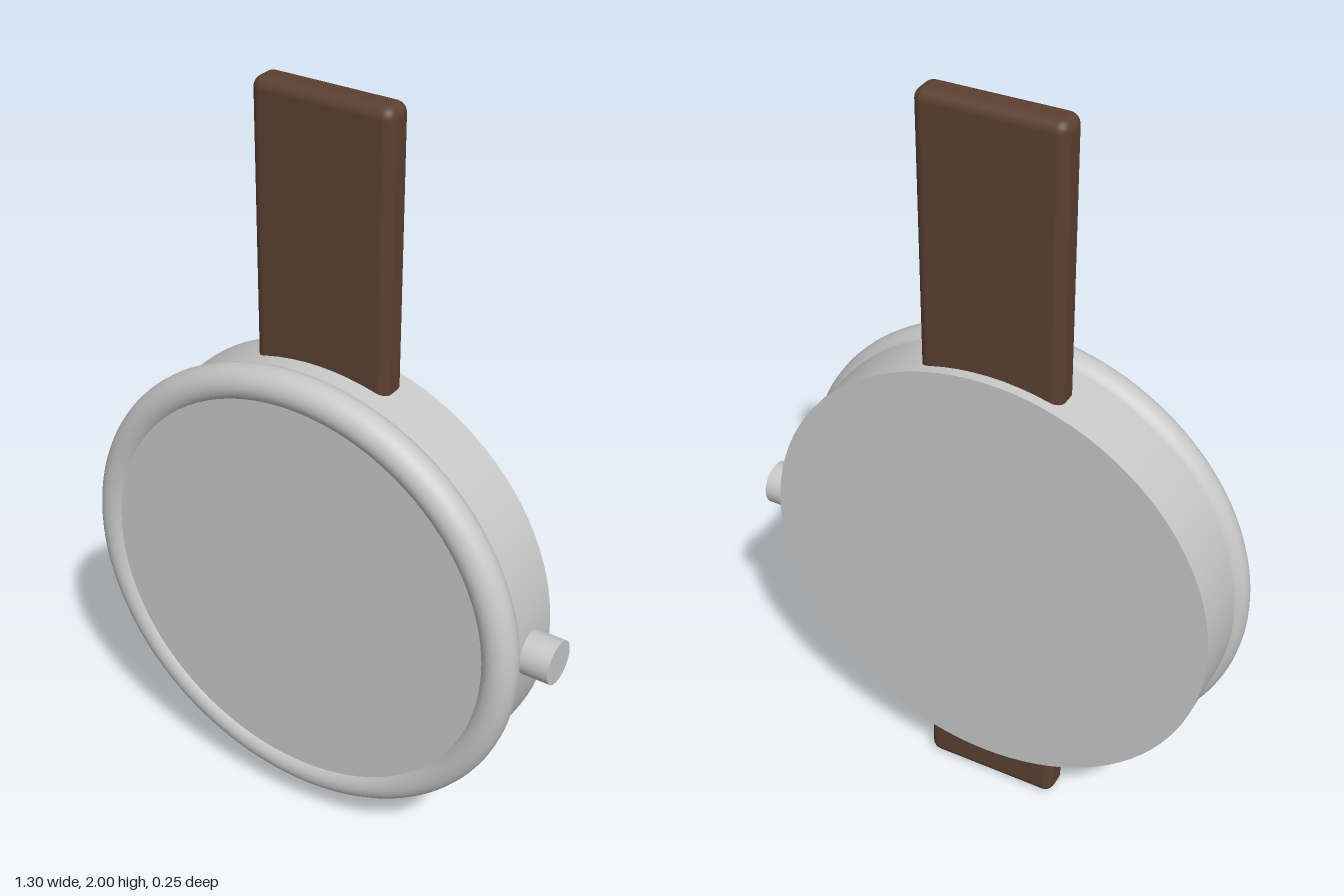
import * as THREE from 'three';
import { RoundedBoxGeometry } from 'three/addons/geometries/RoundedBoxGeometry.js';

export function createModel() {
  const silver = new THREE.MeshStandardMaterial({ color: 0xc8c8c8 });
  silver.name = 'silver';
  const leather = new THREE.MeshStandardMaterial({ color: 0x5c4033 });
  leather.name = 'brown leather';

  const watch = new THREE.Group();
  watch.name = 'watch';
  const cx = -0.027, cy = 0.72;

  function add(name, geometry, material, x, y, z) {
    const mesh = new THREE.Mesh(geometry, material);
    mesh.name = name;
    mesh.position.set(x, y, z);
    watch.add(mesh);
    return mesh;
  }

  // Disc facing the front, spanning z0 to z1
  function disc(name, radius, z0, z1) {
    const geometry = new THREE.CylinderGeometry(radius, radius, z1 - z0, 96).rotateX(Math.PI / 2);
    return add(name, geometry, silver, cx, cy, (z0 + z1) / 2);
  }

  // Case body and the dial cover set inside the bezel
  disc('case', 0.603, -0.126, 0.079);
  disc('dialCover', 0.546, 0.06, 0.111);

  // Round bezel ring
  add('bezel', new THREE.TorusGeometry(0.579, 0.046, 32, 128), silver, cx, cy, 0.079);

  // Crown on the model's left side
  const crown = new THREE.CylinderGeometry(0.057, 0.057, 0.112, 48).rotateZ(Math.PI / 2);
  add('crown', crown, silver, 0.596, cy, -0.028);

  // One-piece strap running through the case
  add('strap', new RoundedBoxGeometry(0.372, 2, 0.084, 6, 0.028), leather, cx, 1, -0.056);

  return watch;
}
